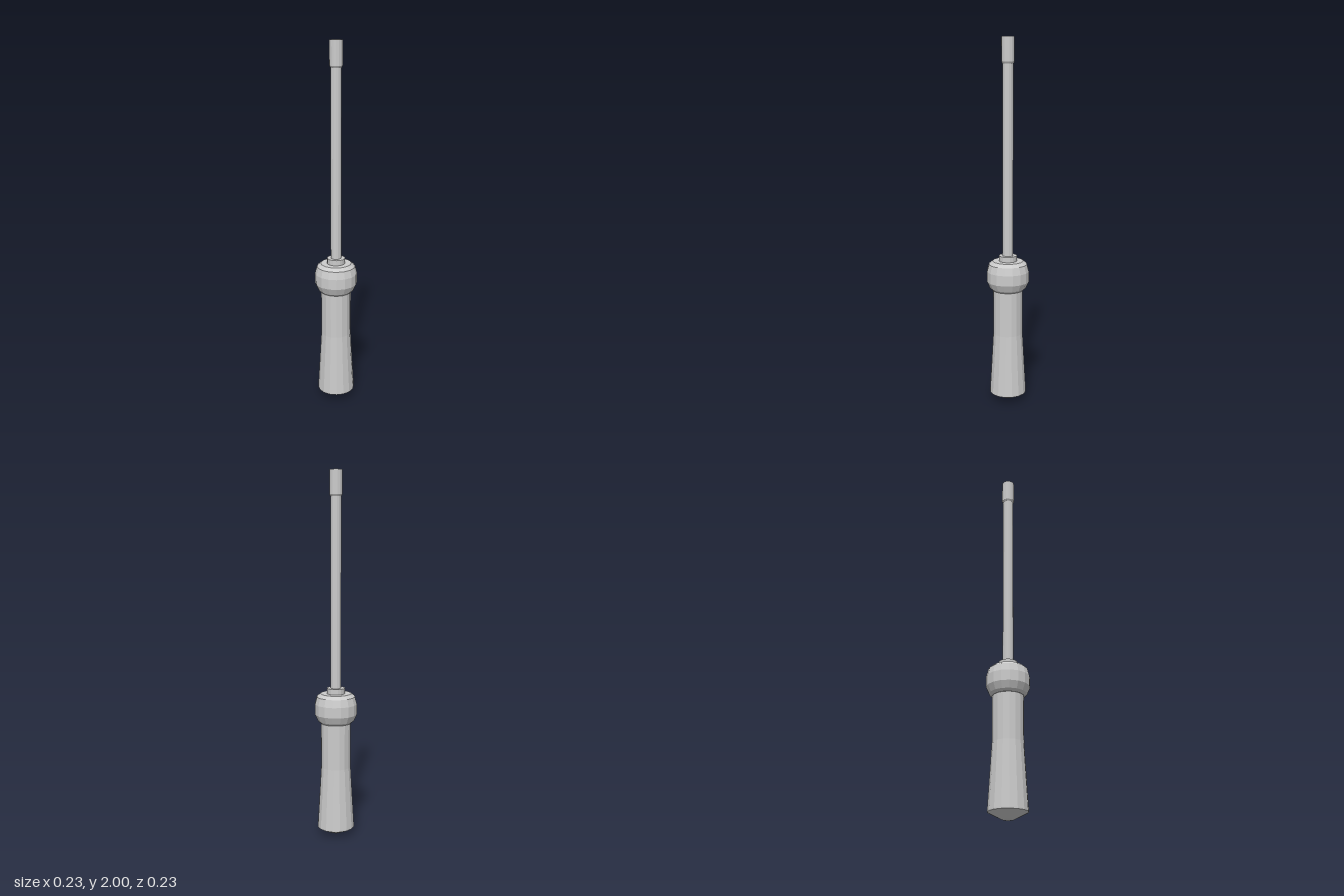
import * as THREE from 'three';

const SIDES = 16;

// Turned, faceted part from [radius, height] points listed bottom to top.
function turned(name, points, material, sides = SIDES) {
  const profile = points.map(([r, y]) => new THREE.Vector2(r, y));
  const mesh = new THREE.Mesh(new THREE.LatheGeometry(profile, sides), material);
  mesh.name = name;
  return mesh;
}

export function createModel() {
  const model = new THREE.Group();
  model.name = 'nutDriver';
  const grey = new THREE.MeshStandardMaterial({ color: 0xcccccc, flatShading: true });

  // Grip with a shallow domed butt, flaring towards the bottom
  model.add(turned('grip', [
    [0, 0], [0.03, 0.006], [0.103, 0.042], [0.103, 0.05], [0.094, 0.2],
    [0.083, 0.39], [0.083, 0.645],
  ], grey));

  // Rounded bulb at the top of the handle
  model.add(turned('bulb', [
    [0, 0.64], [0.085, 0.64], [0.1, 0.653], [0.117, 0.69], [0.117, 0.747],
    [0.106, 0.788], [0.085, 0.805], [0, 0.805],
  ], grey));

  // Collar where the shaft enters the handle
  model.add(turned('collar', [[0.05, 0.8], [0.05, 0.835], [0, 0.835]], grey));

  // Long straight shaft
  model.add(turned('shaft', [[0.029, 0.83], [0.029, 1.875]], grey));

  // Socket sleeve with a small chamfer at its foot
  model.add(turned('socketSleeve', [[0.029, 1.862], [0.035, 1.872], [0.035, 2]], grey));

  // Rim: round outside, polygonal opening inside
  const recessSides = 8, recessRadius = 0.022;
  const ring = (sides, radius) => Array.from({ length: sides }, (_, i) => {
    const a = (i / sides) * Math.PI * 2;
    return new THREE.Vector2(Math.sin(a) * radius, Math.cos(a) * radius);
  });
  const rimShape = new THREE.Shape(ring(SIDES, 0.035));
  rimShape.holes.push(new THREE.Path(ring(recessSides, recessRadius)));
  const rim = new THREE.Mesh(new THREE.ShapeGeometry(rimShape), grey);
  rim.name = 'socketRim';
  rim.rotation.x = -Math.PI / 2;
  rim.position.y = 2;
  model.add(rim);

  // Recess walls and floor, running downwards so they face inwards
  model.add(turned('socketRecess', [[recessRadius, 2], [recessRadius, 1.9], [0, 1.9]]
    , new THREE.MeshStandardMaterial({ color: 0xcccccc, flatShading: true, side: THREE.DoubleSide }),
    recessSides));

  return model;
}
